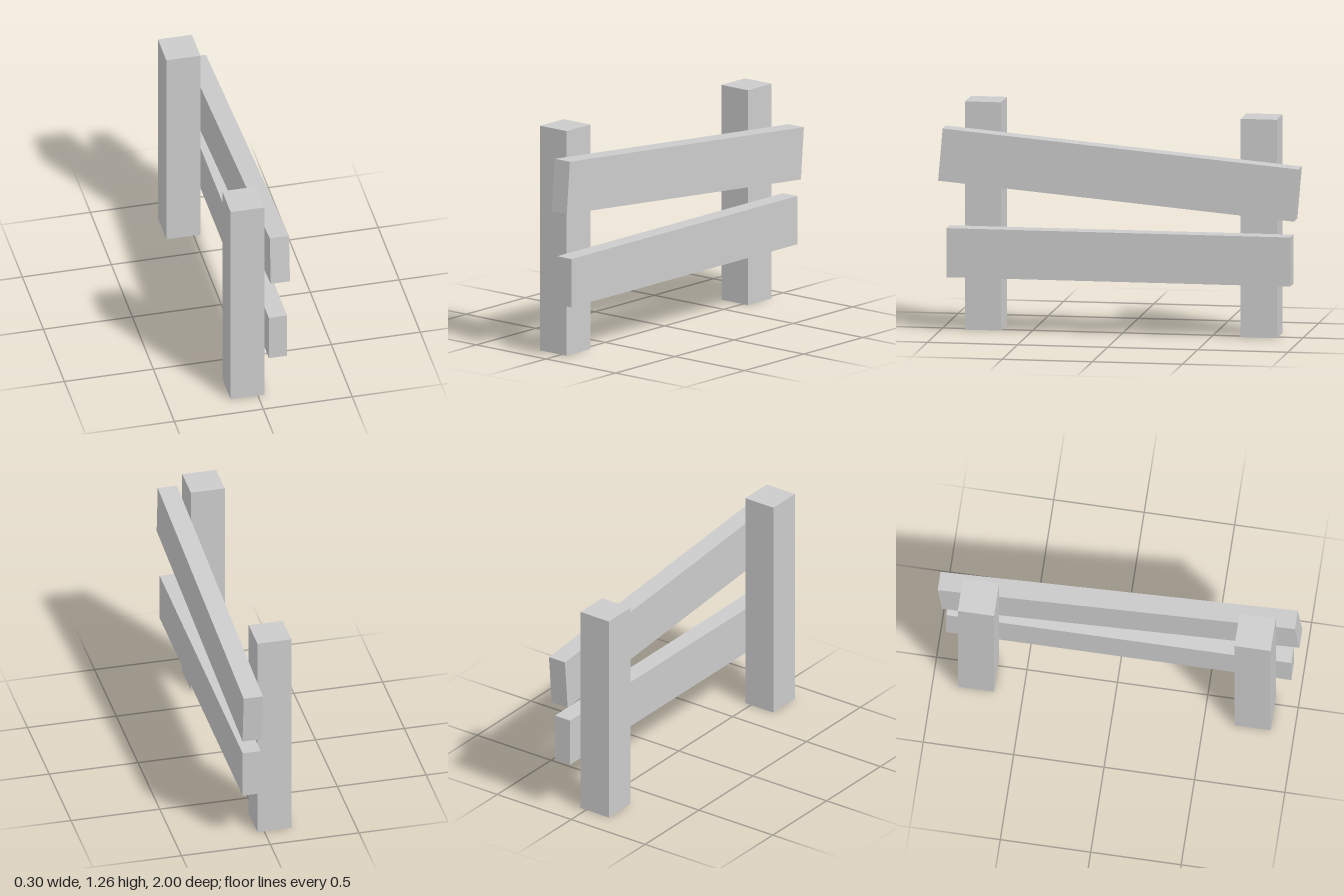
import * as THREE from 'three';

const material = new THREE.MeshStandardMaterial({ color: 0xcccccc, flatShading: true });

function addBeam(group, name, size, position, tilt = 0) {
  const mesh = new THREE.Mesh(new THREE.BoxGeometry(...size), material);
  mesh.name = name;
  mesh.position.set(...position);
  mesh.rotation.x = tilt;
  group.add(mesh);
}

export function createModel() {
  const fence = new THREE.Group();
  fence.name = 'fence';

  // Upright posts, the front one slightly taller
  for (const [name, height, z] of [['frontPost', 1.265, 0.77], ['backPost', 1.21, -0.76]]) {
    addBeam(fence, name, [0.191, height, 0.2], [-0.0575, height / 2, z]);
  }

  // Level lower rail
  addBeam(fence, 'lowerRail', [0.102, 0.272, 1.908], [0.093, 0.441, 0.001]);

  // Upper rail, sagging towards the back
  addBeam(fence, 'upperRail', [0.108, 0.291, 1.983], [0.096, 0.898, 0], -0.0874);

  return fence;
}
